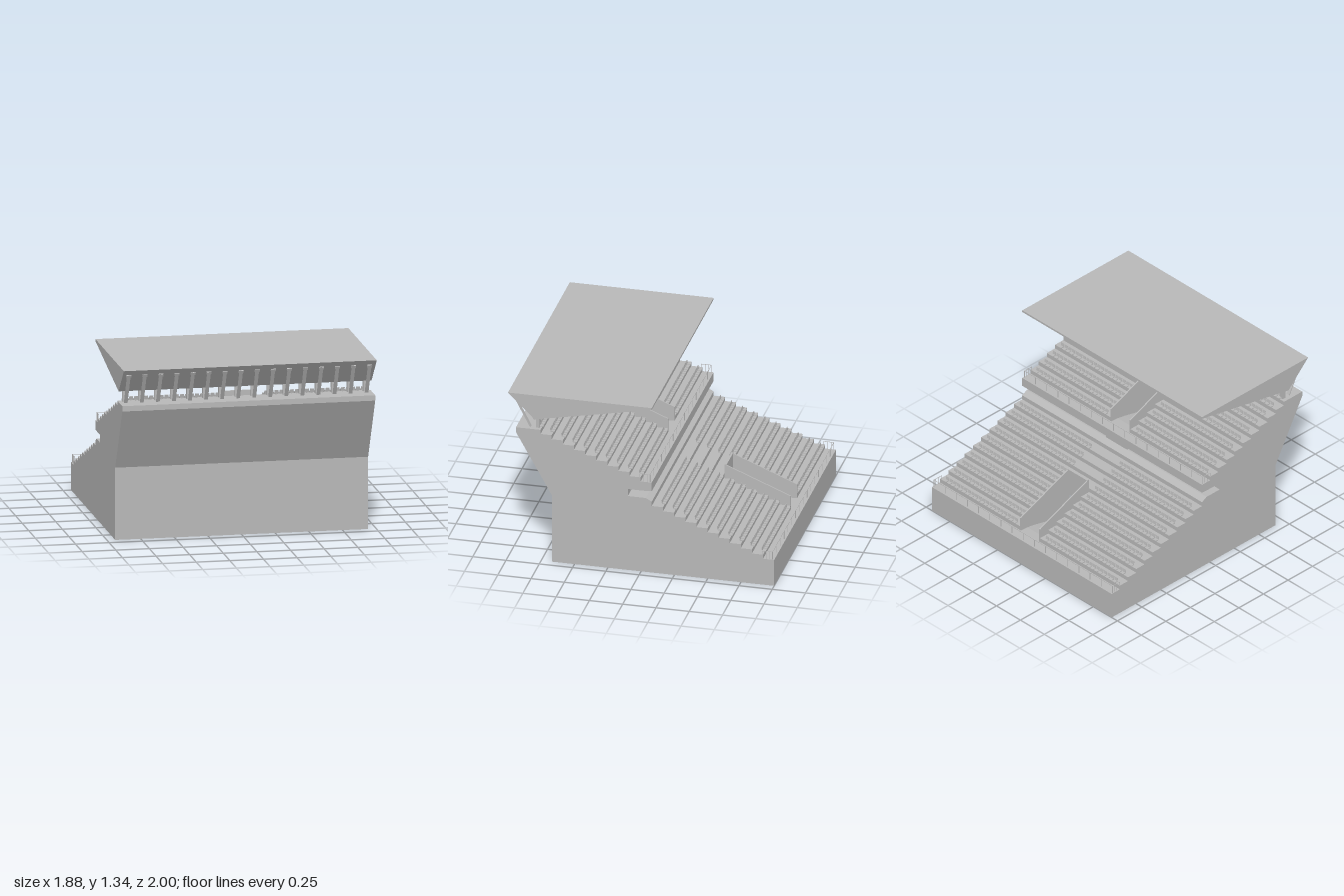
import * as THREE from 'three';
import { mergeGeometries } from 'three/addons/utils/BufferGeometryUtils.js';

const W = 0.94;                       // half width of the stand
const ROWS = 10, RUN = 0.0835, RISE = 0.033;
const TIERS = [{ z: -1, y: 0.21 }, { z: -0.08, y: 0.73 }];
const AISLE = 0.105;                  // half width of the entrance wells

export function createModel() {
  const concrete = new THREE.MeshStandardMaterial({ color: 0xb8b8b8, side: THREE.DoubleSide });
  concrete.name = 'grey concrete';
  const model = new THREE.Group();
  model.name = 'grandstand';

  const add = (name, ...geos) => {
    const parts = geos.map(g => (g.index ? g.toNonIndexed() : g));
    const mesh = new THREE.Mesh(mergeGeometries(parts), concrete);
    mesh.name = name;
    model.add(mesh);
  };
  const box = (w, h, d, x, y, z, tilt = 0) =>
    new THREE.BoxGeometry(w, h, d).rotateX(tilt).translate(x, y, z);
  const toShape = pts => new THREE.Shape(pts.map(p => new THREE.Vector2(p[0], p[1])));

  // Solid with a [z, y] outline, running from x0 to x1
  const solid = (pts, x0, x1) =>
    new THREE.ExtrudeGeometry(toShape(pts), { depth: x1 - x0, bevelEnabled: false })
      .rotateY(-Math.PI / 2).translate(x1, 0, 0);

  // Thin folded sheet following a [z, y] line from x0 to x1
  const sheet = (pts, x0, x1) => {
    const v = [];
    for (let i = 0; i < pts.length - 1; i++) {
      const [za, ya] = pts[i], [zb, yb] = pts[i + 1];
      v.push(x0, ya, za, x0, yb, zb, x1, yb, zb, x0, ya, za, x1, yb, zb, x1, ya, za);
    }
    const g = new THREE.BufferGeometry();
    g.setAttribute('position', new THREE.Float32BufferAttribute(v, 3));
    g.computeVertexNormals();
    return g;
  };

  // Stepped line of one tier, from its front edge to the foot of the last tread
  const steps = t => {
    const pts = [[t.z, t.y]];
    for (let i = 1; i <= ROWS; i++) {
      const z = t.z + RUN * i;
      pts.push([z, t.y + RISE * (i - 1)], [z, t.y + RISE * i]);
    }
    return pts;
  };
  const [low, high] = TIERS.map(steps);
  const passage = [[-0.08, 0.54], [-0.08, 0.575], [-0.035, 0.6], [0.1, 0.6], [0.1, 0.657], [-0.035, 0.657], [-0.08, 0.66]];
  const rear = [[0.94, 1.06], [0.94, 1.02], [0.67, 0.54], [0.67, 0]];
  const profile = [[-1, 0], ...low, ...passage, ...high, ...rear];

  // Terraces and outer walls, with gaps left for the two entrance wells
  const after = (pts, t) => {
    const z = t.z + 0.57;
    const rest = pts.filter(p => p[0] > z);
    return [[z, rest[0][1]], ...rest];
  };
  add('terraces',
    sheet(profile, -W, -AISLE),
    sheet(profile, AISLE, W),
    sheet([[-1, 0], low[0], low[1]], -AISLE, AISLE),
    sheet([...after(low, TIERS[0]), ...passage, high[0], high[1]], -AISLE, AISLE),
    sheet([...after(high, TIERS[1]), ...rear], -AISLE, AISLE));
  for (const s of [-1, 1]) {
    add(s > 0 ? 'leftSideWall' : 'rightSideWall',
      new THREE.ShapeGeometry(toShape(profile)).rotateY(-Math.PI / 2).translate(s * W, 0, 0));
  }
  add('passageBlock', box(0.22, 0.057, 0.135, 0, 0.6285, 0.0325));

  TIERS.forEach((t, k) => {
    const label = k ? 'upper' : 'lower';
    const at = ([z, y]) => [t.z + z, t.y + y];

    // Entrance well: parapets, curved ramp and back wall
    const ramp = [[0.083, 0], [0.15, -0.004], [0.22, -0.017], [0.3, -0.036], [0.42, -0.067], [0.58, -0.1]].map(at);
    const cheek = [...ramp, at([0.58, 0.31]), at([0.083, 0.11])];
    add(label + 'EntranceWell',
      solid(cheek, AISLE - 0.01, AISLE),
      solid(cheek, -AISLE, -AISLE + 0.01),
      box(2 * AISLE, 0.22, 0.015, 0, t.y + 0.199, t.z + 0.572));
    add(label + 'EntranceRamp', sheet(ramp, -AISLE, AISLE));

    // Seats: a pan on the step edge with a slightly tilted back
    const seats = [];
    for (let r = 1; r <= ROWS; r++) {
      const z = t.z + RUN * r, y = t.y + RISE * r;
      for (let i = 0; i < 20; i++) {
        for (const s of [-1, 1]) {
          const x = s * (0.162 + i * 0.0379);
          seats.push(
            box(0.029, 0.006, 0.028, x, y + 0.008, z + 0.004),
            box(0.029, 0.026, 0.004, x, y + 0.021, z + 0.02, 0.2),
            box(0.008, 0.008, 0.012, x, y + 0.003, z + 0.01));
        }
      }
    }
    add(label + 'Seats', ...seats);

    // Front railing with short returns at both ends
    const rail = [box(1.87, 0.003, 0.003, 0, t.y + 0.06, t.z + 0.015)];
    for (let i = 0; i <= 16; i++)
      rail.push(box(0.004, 0.06, 0.004, -0.933 + i * 0.1166, t.y + 0.03, t.z + 0.015));
    for (const s of [-1, 1]) {
      rail.push(box(0.003, 0.003, 0.08, s * 0.933, t.y + 0.06, t.z + 0.053));
      for (const z of [0.035, 0.06, 0.09])
        rail.push(box(0.003, 0.06, 0.003, s * 0.933, t.y + 0.03, t.z + z));
    }
    add(label + 'Railing', ...rail);
  });

  // Wedge roof
  add('roof', solid([[1, 1.335], [0.8, 1.14], [-0.08, 1.32], [-0.08, 1.335]], -W, W));

  // Roof supports: a short post and a leaning strut with a wider head
  const posts = [], struts = [];
  const z0 = 0.84, y0 = 1.06, dz = 0.122, dy = 0.235;
  const lean = Math.atan2(dz, dy), len = Math.hypot(dz, dy);
  for (let i = 0; i < 16; i++) {
    const x = -0.895 + i * 1.79 / 15;
    posts.push(box(0.03, 0.09, 0.027, x, 1.1, 0.784));
    struts.push(
      box(0.026, len, 0.008, x, y0 + dy / 2, z0 + dz / 2, lean),
      box(0.036, 0.02, 0.01, x, y0 + dy * 0.96, z0 + dz * 0.96, lean));
  }
  add('roofPosts', ...posts);
  add('roofStruts', ...struts);
  return model;
}
